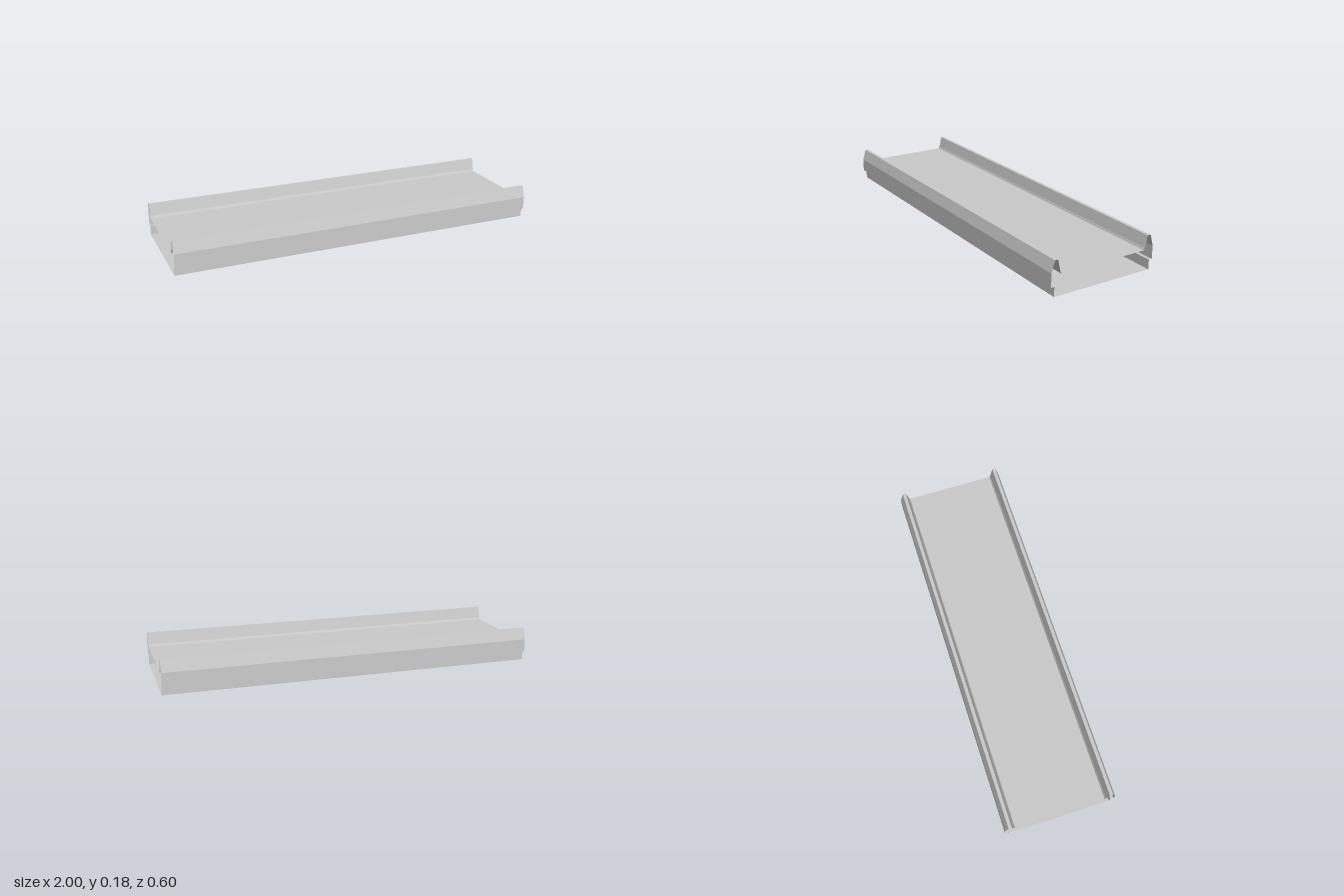
import * as THREE from 'three';

const LENGTH = 2;
const material = new THREE.MeshStandardMaterial({ color: 0xcccccc, flatShading: true, side: THREE.DoubleSide });

// Sweeps an open (z, y) section along x as thin folded sheet, one flat strip per fold.
function sheet(name, section) {
  const pos = [];
  const h = LENGTH / 2;
  for (let i = 0; i < section.length - 1; i++) {
    const [z0, y0] = section[i];
    const [z1, y1] = section[i + 1];
    pos.push(-h, y0, z0, h, y0, z0, h, y1, z1);
    pos.push(-h, y0, z0, h, y1, z1, -h, y1, z1);
  }
  const geometry = new THREE.BufferGeometry();
  geometry.setAttribute('position', new THREE.Float32BufferAttribute(pos, 3));
  geometry.computeVertexNormals();
  const mesh = new THREE.Mesh(geometry, material);
  mesh.name = name;
  return mesh;
}

// Completes a half section given on the +z side with its mirror image.
const mirrored = (half) => [...half.map(([z, y]) => [-z, y]).reverse(), ...half];

export function createModel() {
  const group = new THREE.Group();
  group.name = 'cableTray';

  // floor with short upright walls and outward ledges
  group.add(sheet('baseChannel', mirrored([[0.28, 0], [0.28, 0.05], [0.298, 0.05]])));

  // sloping side rails, folded over at the top and down to the deck
  const rail = [[0.298, 0.05], [0.298, 0.12], [0.28, 0.18], [0.263, 0.18], [0.249, 0.12]];
  group.add(sheet('leftRail', rail));
  group.add(sheet('rightRail', rail.map(([z, y]) => [-z, y]).reverse()));

  // raised deck with small stepped edges
  group.add(sheet('deck', mirrored([[0.243, 0.107], [0.249, 0.12]]).reverse()));
  return group;
}
